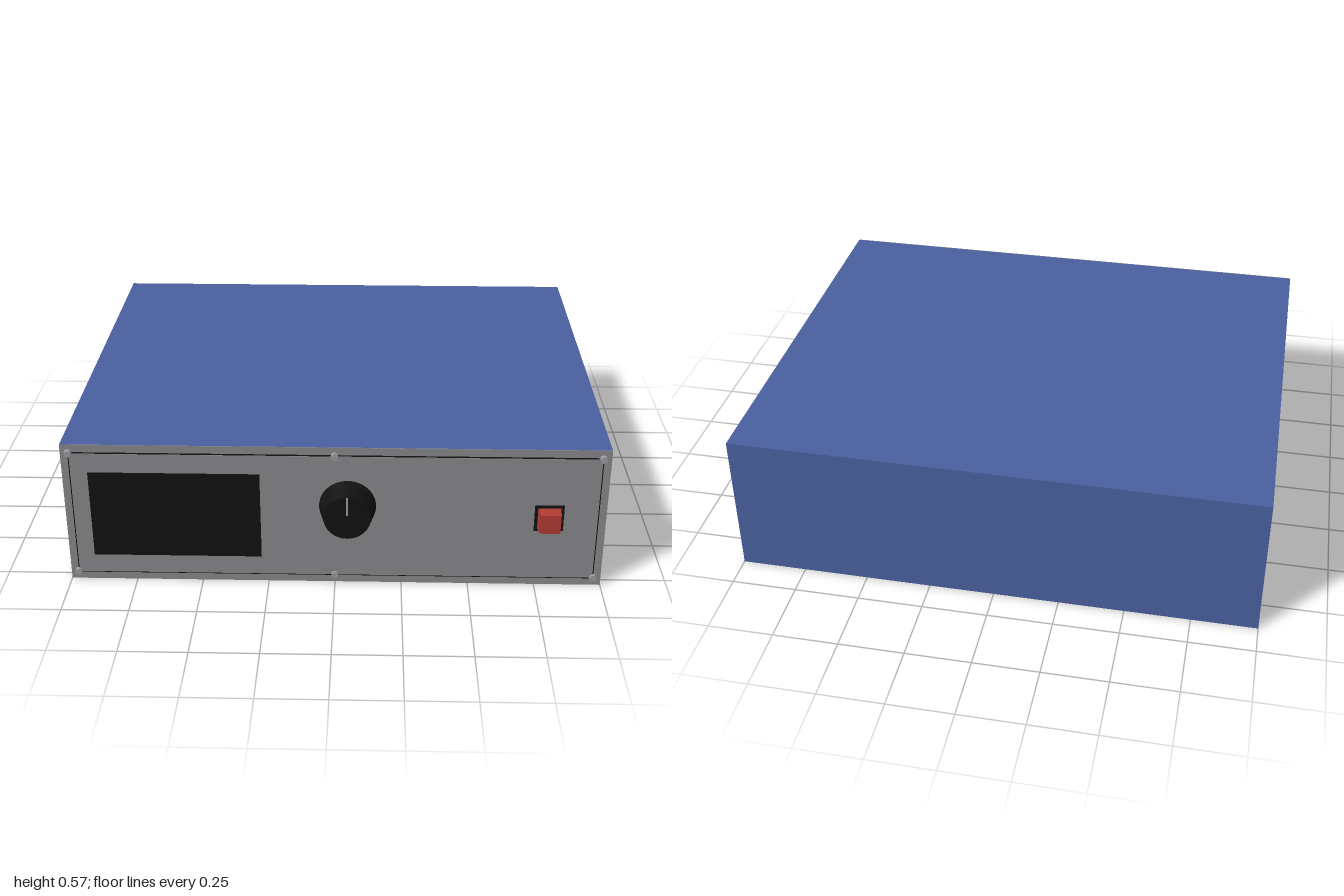
import * as THREE from 'three';

const FACE = 0.785; // z of the front face
const paint = (color) => new THREE.MeshStandardMaterial({ color });

export function createModel() {
  const group = new THREE.Group();
  const blue = paint(0x4a5f9e);
  const grey = paint(0x88888c);
  const black = paint(0x111111);
  const red = paint(0xb03a34);
  const silver = paint(0x9a9a9e);

  const add = (name, geometry, material, x, y, z) => {
    const mesh = new THREE.Mesh(geometry, material);
    mesh.name = name;
    mesh.position.set(x, y, z);
    group.add(mesh);
    return mesh;
  };
  // Box given by its front outline and its depth range
  const slab = (name, material, x0, x1, y0, y1, z0, z1) =>
    add(name, new THREE.BoxGeometry(x1 - x0, y1 - y0, z1 - z0), material,
      (x0 + x1) / 2, (y0 + y1) / 2, (z0 + z1) / 2);

  // Case with its grey front face
  slab('case', blue, -1, 1, 0, 0.57, -0.88, FACE - 0.003);
  slab('frontFace', grey, -1, 1, 0, 0.57, FACE - 0.003, FACE);

  // Raised front plate with a thin dark edge behind it
  slab('plateEdge', black, -0.972, 0.972, 0.03, 0.54, FACE, FACE + 0.003);
  slab('frontPlate', grey, -0.968, 0.968, 0.034, 0.536, FACE, FACE + 0.005);

  // Display window
  slab('display', black, -0.905, -0.275, 0.11, 0.46, FACE, FACE + 0.007);

  // Plate screws
  for (const x of [-0.97, 0, 0.97]) {
    for (const y of [0.035, 0.537]) {
      const screw = add('screw', new THREE.CylinderGeometry(0.013, 0.015, 0.014, 20), silver, x, y, FACE + 0.007);
      screw.rotation.x = Math.PI / 2;
    }
  }

  // Tapered knob, its front turned to +z
  const knob = add('knob', new THREE.CylinderGeometry(0.086, 0.106, 0.095, 48), black, 0.047, 0.332, FACE + 0.0475);
  knob.rotation.x = Math.PI / 2;
  slab('knobPointer', silver, 0.043, 0.051, 0.342, 0.416, 0.878, 0.881);

  // Power switch: dark bezel and slightly tapered red button
  slab('switchBezel', black, 0.735, 0.843, 0.238, 0.345, FACE, FACE + 0.008);
  const button = new THREE.CylinderGeometry(0.038 * Math.SQRT2, 0.043 * Math.SQRT2, 0.055, 4);
  button.rotateY(Math.PI / 4);
  button.rotateX(Math.PI / 2);
  red.flatShading = true;
  add('powerButton', button, red, 0.789, 0.292, FACE + 0.0275);

  return group;
}
